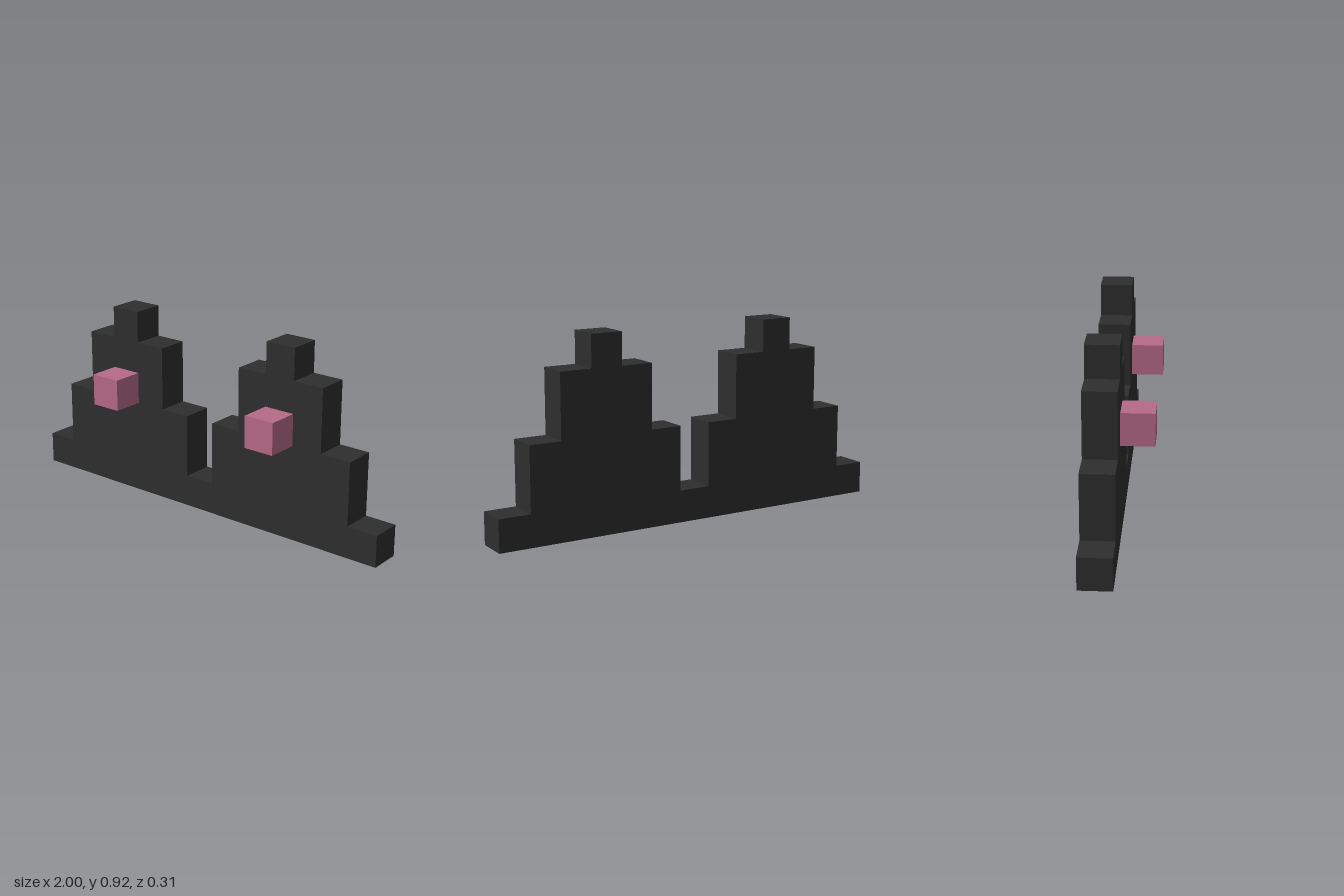
import * as THREE from 'three';

export function createModel() {
  const model = new THREE.Group();
  const u = 2 / 13; // one block

  const charcoal = new THREE.MeshStandardMaterial({ color: 0x2e2e2e });
  charcoal.name = 'charcoal';
  const rose = new THREE.MeshStandardMaterial({ color: 0xb86b87 });
  rose.name = 'rose';

  // Stepped wall: height in blocks of each of the 13 columns
  const peak = [3, 5, 6, 5, 3];
  const heights = [1, ...peak, 1, ...peak, 1];
  const outline = [new THREE.Vector2(-1, 0)];
  heights.forEach((h, i) => {
    if (h !== heights[i - 1]) outline.push(new THREE.Vector2(-1 + i * u, h * u));
    if (h !== heights[i + 1]) outline.push(new THREE.Vector2(-1 + (i + 1) * u, h * u));
  });
  outline.push(new THREE.Vector2(1, 0));
  const wall = new THREE.Mesh(
    new THREE.ExtrudeGeometry(new THREE.Shape(outline), { depth: u, bevelEnabled: false }),
    charcoal
  );
  wall.name = 'steppedWall';
  wall.position.z = -u;
  model.add(wall);

  // One cube on the front of each peak
  for (const side of [-1, 1]) {
    const cube = new THREE.Mesh(new THREE.BoxGeometry(u, u, u), rose);
    cube.name = side < 0 ? 'rightFrontCube' : 'leftFrontCube';
    cube.position.set(side * 3 * u, 3.5 * u, u / 2);
    model.add(cube);
  }
  return model;
}
